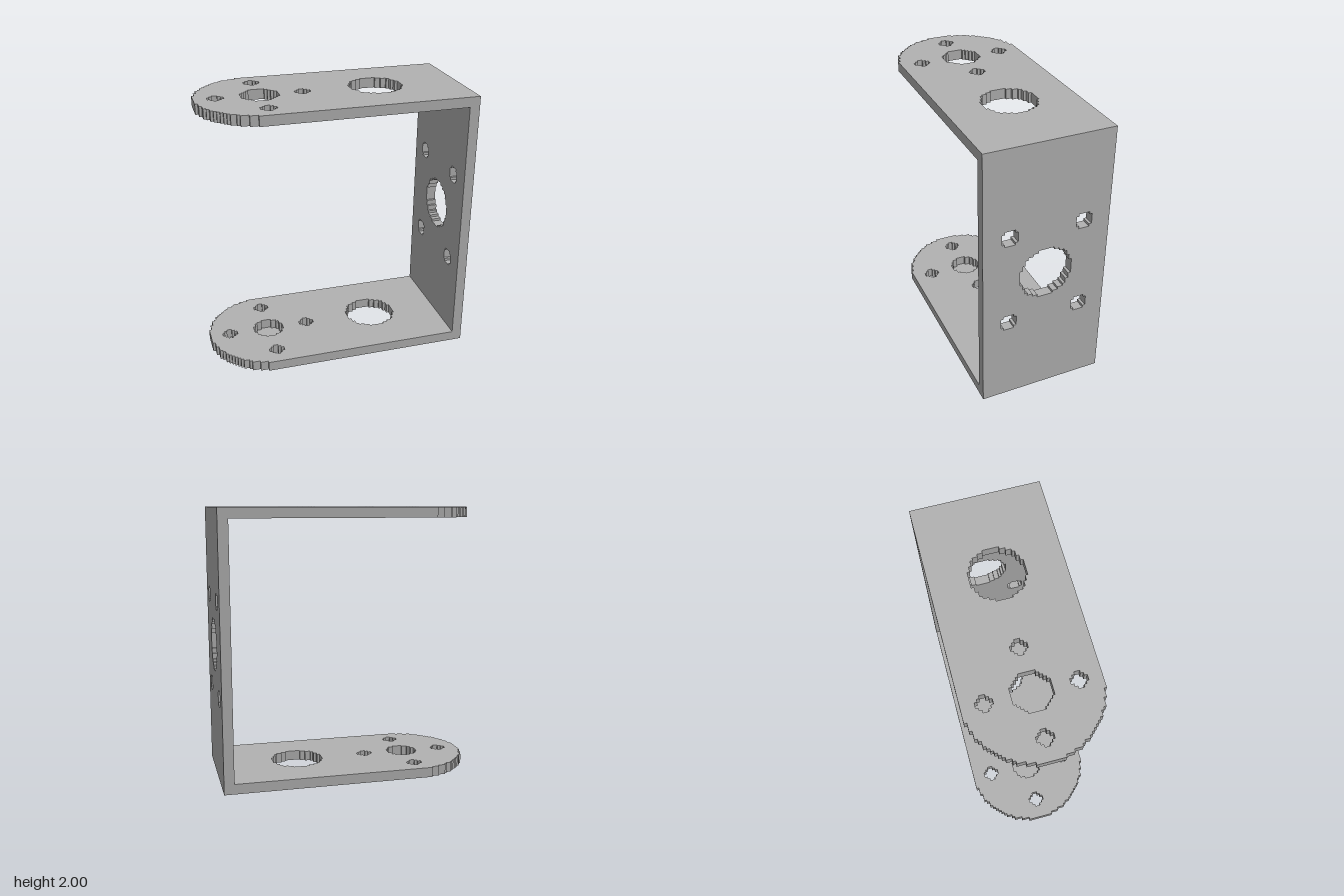
import * as THREE from 'three';

const CELL = 0.01865;          // step size of the stair-cut edges
const HALF = 24 * CELL;        // half width of the strap
const THICK = 0.072;
const LEFT = -0.49, RIGHT = 0.93, BASE = 0.06, TOP = 2;

// Right-hand side of a stair-stepped circle, from bottom to top (radius in cells)
function steppedSide(r) {
  const points = [], n = Math.floor(r + 0.5);
  let last = -1;
  for (let j = -n; j < n; j++) {
    const row = j + 0.5;
    const e = Math.round(Math.sqrt(Math.max(0, r * r - row * row)));
    if (e === last) points.pop();
    else points.push(new THREE.Vector2(e * CELL, j * CELL));
    points.push(new THREE.Vector2(e * CELL, (j + 1) * CELL));
    last = e;
  }
  return points;
}

// Closed stair-stepped hole
function steppedHole(cx, cy, r) {
  const side = steppedSide(r);
  const other = side.map(p => new THREE.Vector2(-p.x, -p.y));
  return new THREE.Path([...side, ...other].map(p => new THREE.Vector2(p.x + cx, p.y + cy)));
}

function extrude(shape) {
  return new THREE.ExtrudeGeometry(shape, { depth: THICK, bevelEnabled: false });
}

// Horizontal arm with a rounded end, bolt circle and large opening
function armGeometry(hubRadius) {
  const end = steppedSide(24).map(p => new THREE.Vector2(LEFT - p.x, -p.y));
  const inner = RIGHT - THICK;
  const shape = new THREE.Shape([
    new THREE.Vector2(inner, -HALF), new THREE.Vector2(inner, HALF), ...end
  ]);
  shape.holes.push(steppedHole(0.335, 0, 10), steppedHole(LEFT, 0, hubRadius));
  for (const [dx, dy] of [[1, 0], [-1, 0], [0, 1], [0, -1]]) {
    shape.holes.push(steppedHole(LEFT + dx * 0.3, dy * 0.3, 2.8));
  }
  return extrude(shape).rotateX(-Math.PI / 2);
}

// Upright wall with central opening and four screw holes
function wallGeometry() {
  const mid = (BASE + TOP) / 2;
  const shape = new THREE.Shape([
    new THREE.Vector2(-HALF, BASE), new THREE.Vector2(HALF, BASE),
    new THREE.Vector2(HALF, TOP), new THREE.Vector2(-HALF, TOP)
  ]);
  shape.holes.push(steppedHole(0, mid, 10));
  for (const sx of [-1, 1]) for (const sy of [-1, 1]) {
    shape.holes.push(steppedHole(sx * 0.262, mid + sy * 0.336, 3));
  }
  return extrude(shape).rotateY(Math.PI / 2);
}

export function createModel() {
  const group = new THREE.Group();
  group.name = 'bracket';
  const grey = new THREE.MeshStandardMaterial({ color: 0xb2b2b2 });
  grey.name = 'grey metal';

  const add = (name, geometry, x, y) => {
    const mesh = new THREE.Mesh(geometry, grey);
    mesh.name = name;
    mesh.position.set(x, y, 0);
    group.add(mesh);
  };

  add('lowerArm', armGeometry(6), 0, BASE);
  add('upperArm', armGeometry(7), 0, TOP - THICK);
  add('backWall', wallGeometry(), RIGHT - THICK, 0);
  // Pivot disc closing the lower hub hole from below
  add('pivotDisc', new THREE.CylinderGeometry(0.13, 0.13, BASE, 48), LEFT, BASE / 2);
  return group;
}
